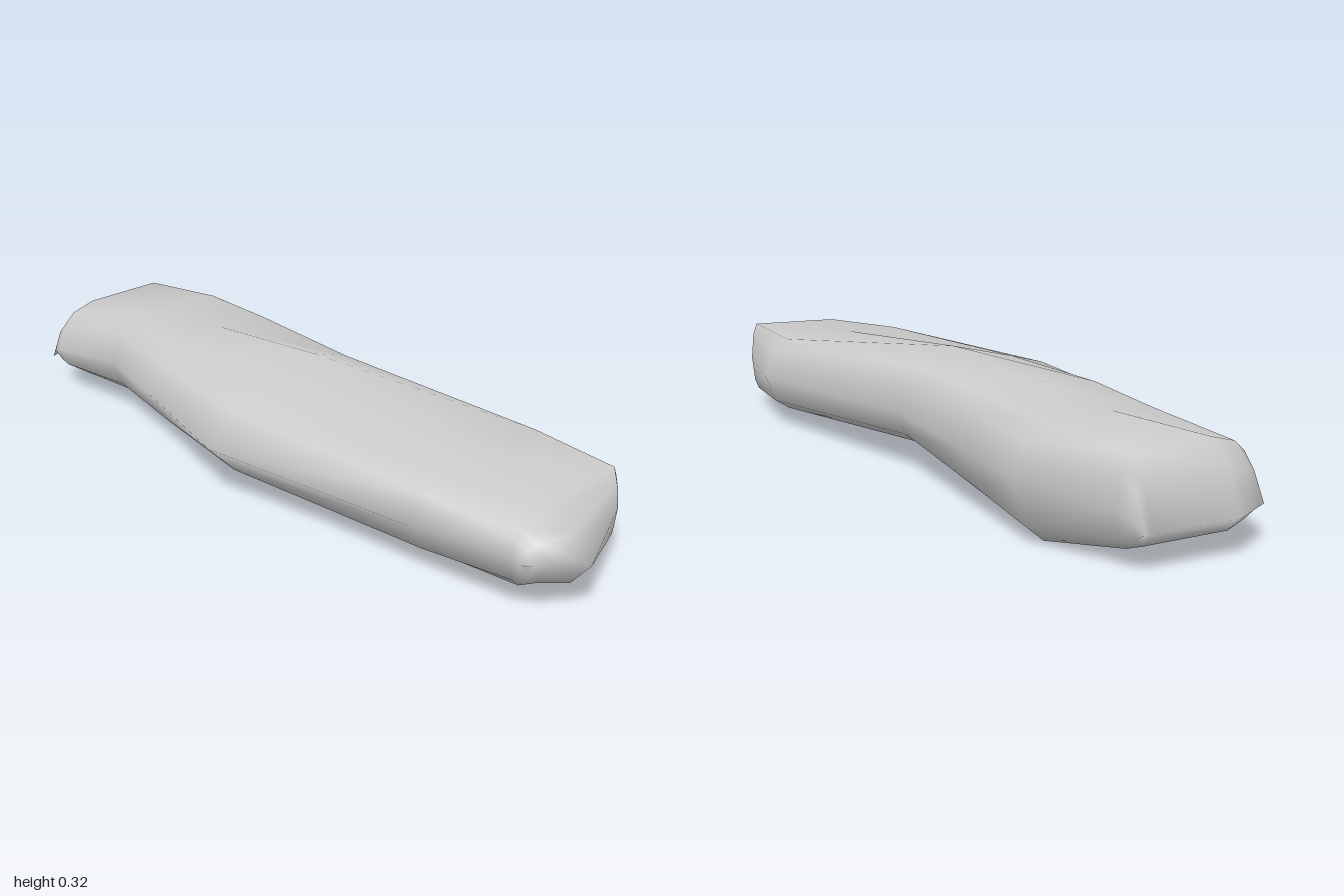
import * as THREE from 'three';
import { mergeVertices } from 'three/addons/utils/BufferGeometryUtils.js';

const { lerp } = THREE.MathUtils;

// Cross-sections from front to back. Heights are given at left, middle, right;
// inset is the width of the bevel at the left and right edge.
const sections = [
  { z: 0.86, x: [-0.17, -0.05, 0.235], mid: 0.15, top: [0.215, 0.24, 0.255], bottom: [0.07, 0.05, 0.05], inset: [0.04, 0.02] },
  { z: 0.6, x: [-0.215, 0.03, 0.315], mid: 0.15, top: [0.25, 0.255, 0.255], bottom: [0.045, 0.025, 0.045], inset: [0.09, 0.075] },
  { z: -0.02, x: [-0.32, 0.06, 0.23], mid: 0.165, top: [0.275, 0.325, 0.285], bottom: [0.04, 0.02, 0.08], inset: [0.19, 0.05] },
  { z: -0.4, x: [-0.22, 0.04, 0.28], mid: 0.165, top: [0.28, 0.3, 0.285], bottom: [0.05, 0.03, 0.035], inset: [0.1, 0.07] },
  { z: -0.65, x: [-0.157, 0.04, 0.315], mid: 0.165, top: [0.27, 0.285, 0.28], bottom: [0.06, 0.04, 0.0], inset: [0.06, 0.09] },
  { z: -0.9, x: [-0.18, -0.05, 0.22], mid: 0.14, top: [0.245, 0.265, 0.265], bottom: [0.06, 0.045, 0.05], inset: [0.06, 0.03] },
];

// Twelve points: left edge, over the top, right edge, back along the bottom
function ring({ z, x, mid, top, bottom, inset }) {
  const [l, m, r] = x;
  const half = (h) => {
    const [yl, ym, yr] = h;
    return [
      [l + inset[0] * 0.45, lerp(mid, yl, 0.72)],
      [l + inset[0], yl], [m, ym], [r - inset[1], yr],
      [r - inset[1] * 0.4, lerp(mid, yr, 0.72)],
    ];
  };
  return [[l, mid], ...half(top), [r, mid], ...half(bottom).reverse()]
    .map(([px, py]) => new THREE.Vector3(px, py, z));
}

// Blunt end: the section closes in height towards a ridge bent in plan
function endRings(section, ridge, ridgeY) {
  const [l, m, r] = section.x;
  const ridgeZ = (x) => x < m
    ? lerp(ridge[0], ridge[1], (x - l) / (m - l))
    : lerp(ridge[1], ridge[2], (x - m) / (r - m));
  return [[0.62, 0.68], [1, 0]].map(([out, height]) => ring(section).map((p) => new THREE.Vector3(
    lerp(m, p.x, 1 - 0.06 * out),
    lerp(ridgeY, p.y, height),
    lerp(section.z, ridgeZ(p.x), out),
  )));
}

function loft(rings) {
  const n = rings[0].length;
  const index = [];
  for (let i = 0; i < rings.length - 1; i++) {
    for (let j = 0; j < n; j++) {
      const a = i * n + j, b = i * n + (j + 1) % n;
      index.push(a, b, a + n, b, b + n, a + n);
    }
  }
  const geometry = new THREE.BufferGeometry().setFromPoints(rings.flat());
  geometry.setIndex(index);
  const merged = mergeVertices(geometry, 1e-4);
  merged.computeVertexNormals();
  return merged;
}

export function createModel() {
  const group = new THREE.Group();
  group.name = 'rockSlab';

  // One continuous stone, bent in plan and worn round at the edges
  const front = endRings(sections[0], [0.9, 1.0, 0.88], 0.15).reverse();
  const back = endRings(sections[sections.length - 1], [-0.95, -1.0, -0.965], 0.1);
  const stone = new THREE.Mesh(
    loft([...front, ...sections.map(ring), ...back]),
    new THREE.MeshStandardMaterial({ color: 0xcccccc }),
  );
  stone.name = 'stone';
  group.add(stone);
  return group;
}
